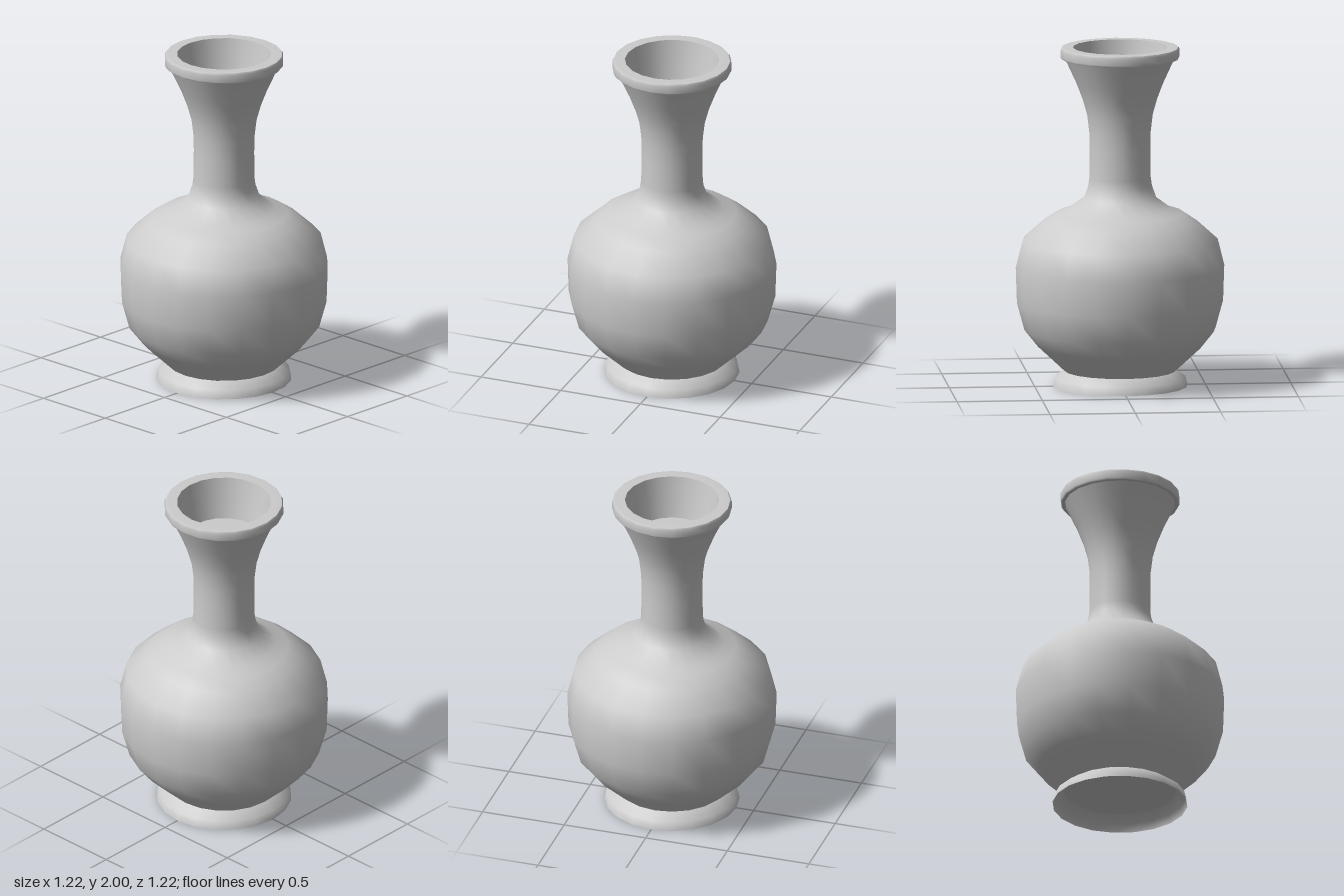
import * as THREE from 'three';

const SIDES = 20;

export function createModel() {
  const vase = new THREE.Group();
  vase.name = 'vase';
  const material = new THREE.MeshStandardMaterial({ color: 0xcccccc });
  const thin = new THREE.MeshStandardMaterial({ color: 0xcccccc, side: THREE.DoubleSide });

  // Turns a profile of [radius, height] points around the y axis.
  function turn(name, profile, mat = material) {
    const points = profile.map(([r, y]) => new THREE.Vector2(r, y));
    const mesh = new THREE.Mesh(new THREE.LatheGeometry(points, SIDES), mat);
    mesh.name = name;
    vase.add(mesh);
  }

  // Flared hollow foot, open underneath
  turn('foot', [[0.395, 0], [0.383, 0.05], [0.325, 0.09]], thin);

  // Flat underside of the body, seen inside the foot
  turn('bodyUnderside', [[0, 0.088], [0.328, 0.088]]);

  // Round belly running through the shoulder into the flared neck
  turn('bodyAndNeck', [
    [0.325, 0.09], [0.48, 0.235], [0.56, 0.335], [0.604, 0.495],
    [0.611, 0.705], [0.572, 0.86], [0.45, 0.97], [0.375, 1.02],
    [0.302, 1.045], [0.212, 1.11], [0.187, 1.18], [0.18, 1.23],
    [0.178, 1.4], [0.18, 1.5], [0.192, 1.6], [0.217, 1.69],
    [0.255, 1.79], [0.322, 1.935],
  ]);

  // Rim band: underside, bevelled outer edge and flat lip
  turn('rimUnderside', [[0.318, 1.935], [0.343, 1.935]]);
  turn('rimEdge', [[0.343, 1.935], [0.349, 1.945], [0.349, 1.985], [0.342, 1.998]]);
  turn('rimLip', [[0.342, 1.998], [0.335, 2], [0.275, 2]]);

  // Mouth: tapering inner wall and the flat floor that closes it
  turn('mouthWall', [[0.275, 2], [0.256, 1.88], [0.232, 1.76], [0.23, 1.75]]);
  turn('mouthFloor', [[0.23, 1.75], [0, 1.75]]);

  return vase;
}
